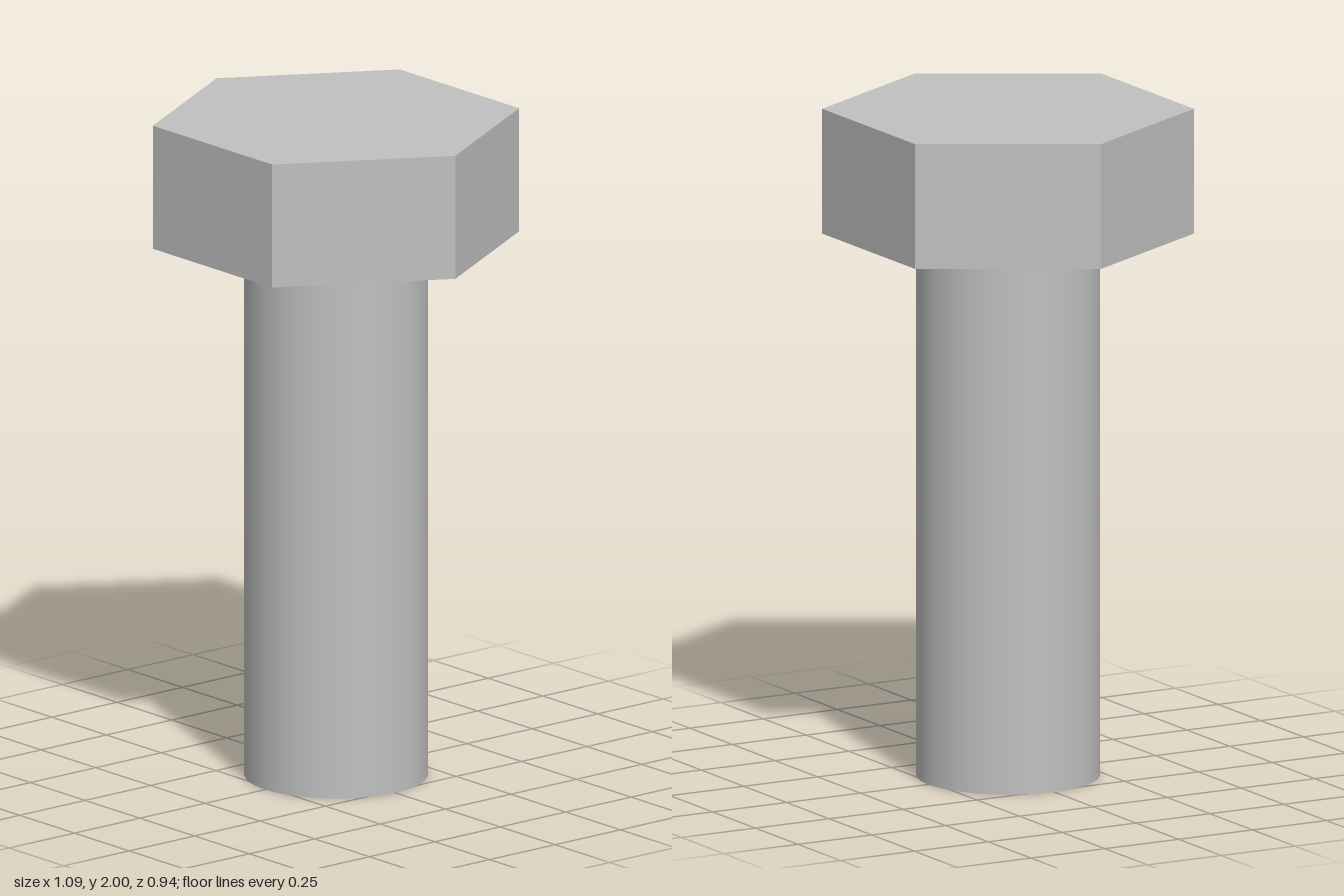
import * as THREE from 'three';

export function createModel() {
  const bolt = new THREE.Group();
  bolt.name = 'hexBolt';

  const steel = new THREE.MeshStandardMaterial({ color: 0xc0c0c0 });
  steel.name = 'steel grey';

  const headBottom = 1.625;
  const top = 2;

  // Hexagonal head, corners on the x axis, with a normal per flat side
  const headHeight = top - headBottom;
  const headGeometry = new THREE.CylinderGeometry(0.545, 0.545, headHeight, 6)
    .rotateY(Math.PI / 6)
    .toNonIndexed();
  headGeometry.computeVertexNormals();
  const head = new THREE.Mesh(headGeometry, steel);
  head.name = 'head';
  head.position.y = headBottom + headHeight / 2;
  bolt.add(head);

  // Smooth round shaft
  const shaft = new THREE.Mesh(new THREE.CylinderGeometry(0.27, 0.27, headBottom, 64), steel);
  shaft.name = 'shaft';
  shaft.position.y = headBottom / 2;
  bolt.add(shaft);

  return bolt;
}
